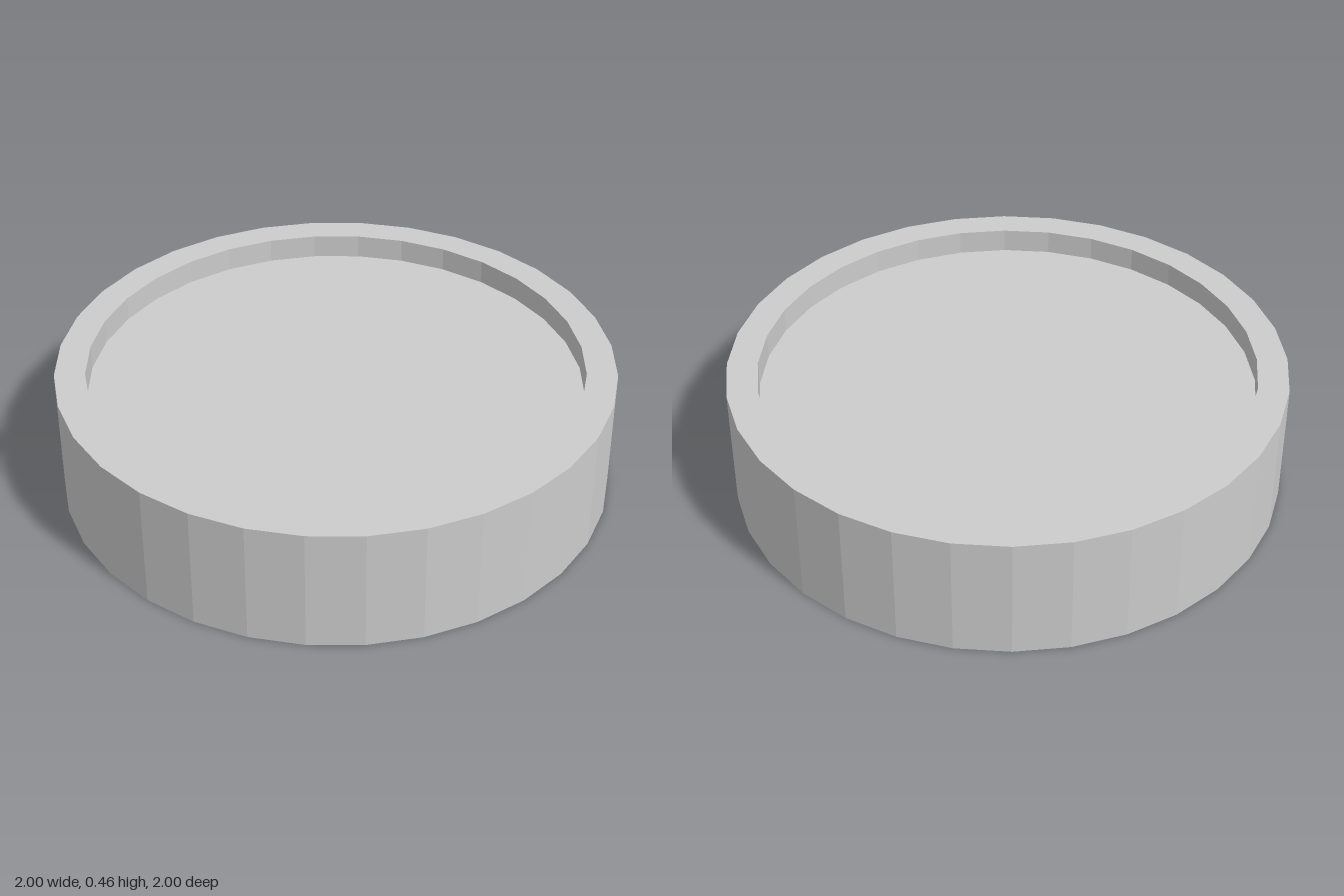
import * as THREE from 'three';

const SIDES = 32;
const HEIGHT = 0.457;
const OUTER = 1;
const INNER = 0.89;
const RECESS = 0.09;

export function createModel() {
  const group = new THREE.Group();
  group.name = 'recessedDisc';
  const material = new THREE.MeshStandardMaterial({ color: 0xcccccc, flatShading: true });

  // Revolve a [radius, height] profile into a faceted part
  const addRevolved = (name, profile) => {
    const points = profile.map(([r, y]) => new THREE.Vector2(r, y));
    const mesh = new THREE.Mesh(new THREE.LatheGeometry(points, SIDES), material);
    mesh.name = name;
    group.add(mesh);
  };

  const low = RECESS;
  const high = HEIGHT - RECESS;

  // Raised rim: lower recess wall, outer wall and upper recess wall
  addRevolved('rim', [
    [INNER, low], [INNER, 0], [OUTER, 0],
    [OUTER, HEIGHT], [INNER, HEIGHT], [INNER, high],
  ]);

  // Sunken faces on both sides
  addRevolved('bottomPanel', [[0, low], [INNER, low]]);
  addRevolved('topPanel', [[INNER, high], [0, high]]);

  return group;
}
